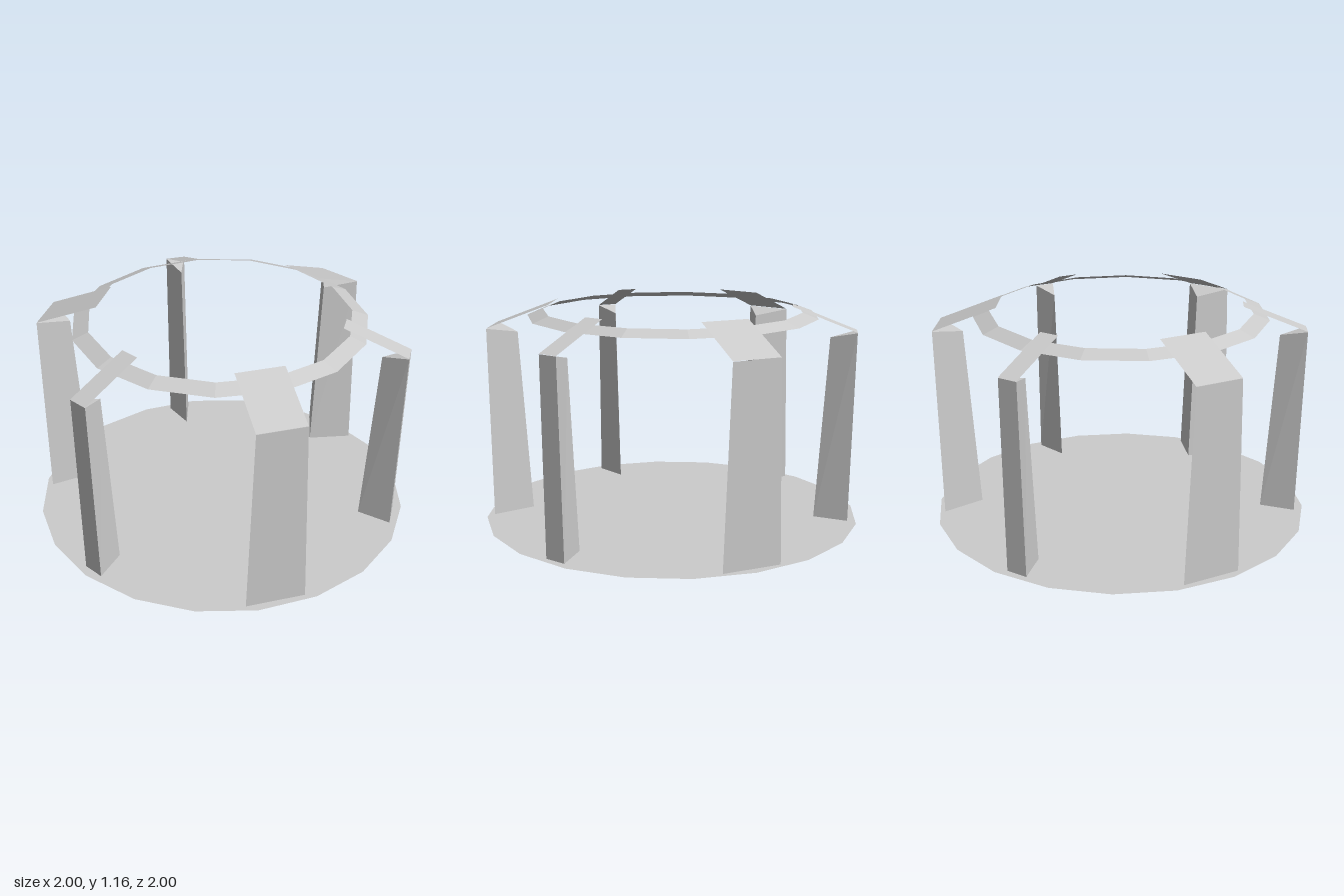
import * as THREE from 'three';

const material = new THREE.MeshStandardMaterial({
  color: 0xcccccc, flatShading: true, side: THREE.DoubleSide,
});

// Flat-shaded mesh from corner points and triangles
function facets(name, corners, triangles) {
  const geometry = new THREE.BufferGeometry();
  geometry.setAttribute('position', new THREE.Float32BufferAttribute(corners.flat(), 3));
  geometry.setIndex(triangles.flat());
  const flat = geometry.toNonIndexed();
  flat.computeVertexNormals();
  const mesh = new THREE.Mesh(flat, material);
  mesh.name = name;
  return mesh;
}

// Leaning three-sided post with a slanted top and an inward-sloping plate
function createPost(name, bottomHalf, topHalf) {
  const post = new THREE.Group();
  post.name = name;
  const shaft = facets('shaft', [
    [-bottomHalf, 0, 0.95], [bottomHalf, 0, 0.95], [0, 0, 0.77],
    [-topHalf, 1.024, 0.97], [topHalf, 1.024, 0.97], [0, 0.992, 0.832],
  ], [
    [0, 1, 4], [0, 4, 3], // outer wall
    [1, 2, 5], [1, 5, 4], // inner walls
    [2, 0, 3], [2, 3, 5],
    [3, 4, 5], // top
  ]);
  const plate = facets('roofPlate', [
    [-topHalf, 1.026, 0.97], [topHalf, 1.026, 0.97],
    [topHalf, 1.156, 0.635], [-topHalf, 1.156, 0.635],
  ], [[0, 1, 2], [0, 2, 3]]);
  post.add(shaft, plate);
  return post;
}

export function createModel() {
  const model = new THREE.Group();
  model.name = 'ringPavilion';

  // Thin floor disc, just above the feet of the posts
  const floor = new THREE.Mesh(new THREE.CircleGeometry(1, 20).rotateX(-Math.PI / 2), material);
  floor.name = 'floor';
  floor.position.y = 0.01;
  model.add(floor);

  // Narrow and wide posts alternate around the floor
  for (let i = 0; i < 6; i++) {
    const wide = i % 2 === 1;
    const post = wide
      ? createPost('widePost', 0.155, 0.125)
      : createPost('narrowPost', 0.058, 0.053);
    post.rotation.y = (i * Math.PI) / 3;
    model.add(post);
  }

  // Thin sloping ring joining the plates
  const band = [new THREE.Vector2(0.768, 1.096), new THREE.Vector2(0.684, 1.128)];
  const ring = new THREE.Mesh(new THREE.LatheGeometry(band, 15, Math.PI / 2), material);
  ring.name = 'roofRing';
  ring.position.set(-0.008, 0, 0.004);
  model.add(ring);

  return model;
}
